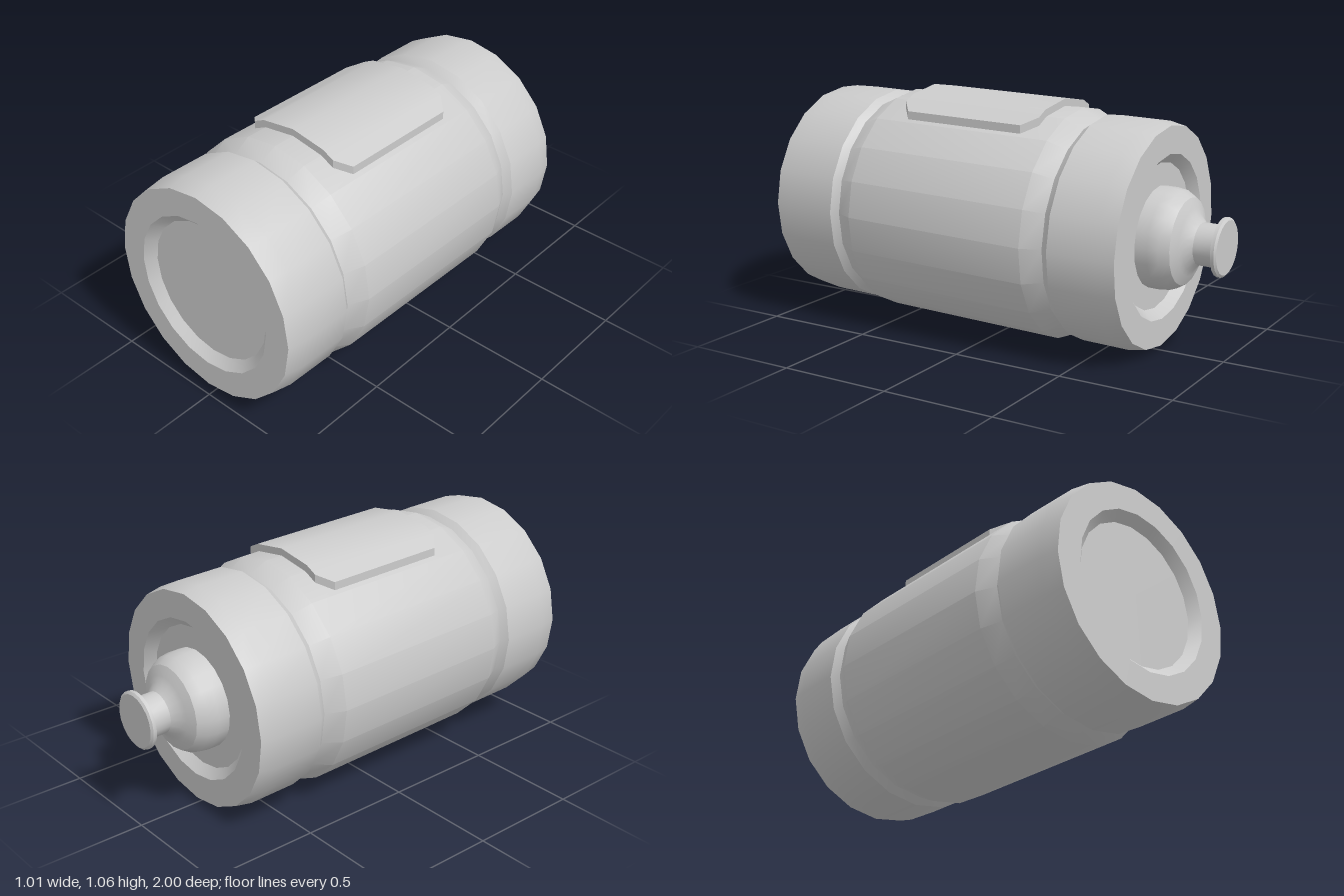
import * as THREE from 'three';
import { toCreasedNormals } from 'three/addons/utils/BufferGeometryUtils.js';

const SIDES = 20;
const CREASE = Math.PI / 6;
const material = new THREE.MeshStandardMaterial({ color: 0xcccccc });

function part(name, geometry) {
  const mesh = new THREE.Mesh(toCreasedNormals(geometry, CREASE), material);
  mesh.name = name;
  return mesh;
}

// Profile of [radius, z] pairs, listed from back to front, turned around the z axis
function turned(name, profile) {
  const points = profile.map(([r, z]) => new THREE.Vector2(r, z));
  return part(name, new THREE.LatheGeometry(points, SIDES).rotateX(Math.PI / 2));
}

// Height of the faceted cylinder of radius r above its axis at a given x
function facetHeight(r, x) {
  const step = (2 * Math.PI) / SIDES;
  const i = Math.floor(Math.asin(Math.min(1, Math.abs(x) / r)) / step);
  const [x0, x1] = [i, i + 1].map((k) => r * Math.sin(k * step));
  const [y0, y1] = [i, i + 1].map((k) => r * Math.cos(k * step));
  return y0 + ((y1 - y0) * (Math.abs(x) - x0)) / (x1 - x0);
}

// Raised plate with cut corners, bent over the facets of the body
function plateGeometry() {
  const inner = 0.49, outer = 0.537, back = -0.225, front = 0.455, cut = 0.055;
  const bend = outer * Math.sin((2 * Math.PI) / SIDES);
  const columns = [-0.277, -0.217, -bend, 0, bend, 0.217, 0.277];
  const sections = columns.map((x, i) => {
    const inset = i === 0 || i === columns.length - 1 ? cut : 0;
    const top = facetHeight(outer, x), bottom = facetHeight(inner, x);
    return [
      [x, top, front - inset], [x, top, back + inset],
      [x, bottom, back + inset], [x, bottom, front - inset],
    ];
  });
  const positions = [];
  const quad = (a, b, c, d) => positions.push(...a, ...b, ...c, ...a, ...c, ...d);
  for (let i = 0; i < sections.length - 1; i++) {
    const p = sections[i], q = sections[i + 1];
    for (let k = 0; k < 4; k++) {
      const n = (k + 1) % 4;
      quad(p[k], q[k], q[n], p[n]);
    }
  }
  const first = sections[0], last = sections[sections.length - 1];
  quad(first[0], first[1], first[2], first[3]);
  quad(last[3], last[2], last[1], last[0]);
  const geometry = new THREE.BufferGeometry();
  geometry.setAttribute('position', new THREE.Float32BufferAttribute(positions, 3));
  geometry.computeVertexNormals();
  return geometry;
}

export function createModel() {
  const model = new THREE.Group();
  model.name = 'canister';

  const canister = new THREE.Group();
  canister.name = 'tiltedCanister';
  // The canister lies on its side, its front slightly raised
  canister.position.y = 0.514;
  canister.rotation.x = -0.0225;
  model.add(canister);

  // Body with both end caps, grooves and recessed ends
  canister.add(turned('body', [
    [0, -0.685], [0.315, -0.685], [0.355, -0.725], [0.475, -0.725],
    [0.49, -0.65], [0.49, -0.43], [0.465, -0.395], [0.505, -0.31],
    [0.505, 0.555], [0.465, 0.64], [0.49, 0.67], [0.49, 0.9],
    [0.475, 0.985], [0.355, 0.985], [0.315, 0.945], [0, 0.945],
  ]));

  // Stepped dome, neck and flanged tip at the back
  canister.add(turned('nozzle', [
    [0, -0.998], [0.115, -0.998], [0.125, -0.99], [0.125, -0.975],
    [0.09, -0.965], [0.09, -0.885], [0.12, -0.855], [0.145, -0.845],
    [0.185, -0.825], [0.21, -0.785], [0.217, -0.74], [0.217, -0.68],
  ]));

  // Plate on top
  canister.add(part('topPlate', plateGeometry()));

  return model;
}
